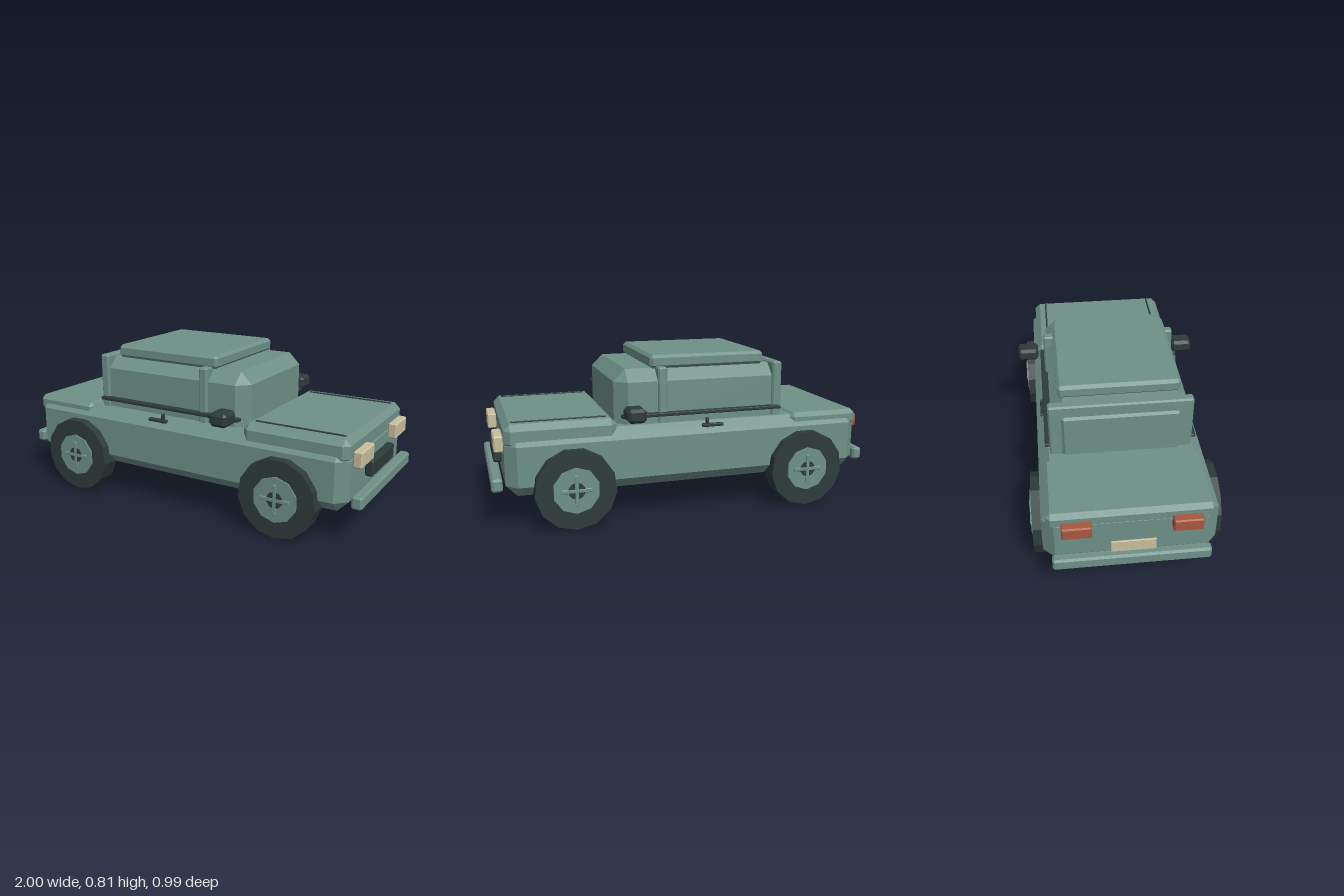
import * as THREE from 'three';
import { ConvexGeometry } from 'three/addons/geometries/ConvexGeometry.js';

const paint = new THREE.MeshStandardMaterial({ color: 0x6f9188 });
paint.name = 'sage paint';
const dark = new THREE.MeshStandardMaterial({ color: 0x2e3b3b });
dark.name = 'dark rubber';
const cream = new THREE.MeshStandardMaterial({ color: 0xc9c09d });
cream.name = 'cream lamp';
const red = new THREE.MeshStandardMaterial({ color: 0xa9583f });
red.name = 'red lamp';

// Box between two limits on each axis, with every edge chamfered by c
function chamferBox(name, material, [x0, x1], [y0, y1], [z0, z1], c) {
  const half = [(x1 - x0) / 2, (y1 - y0) / 2, (z1 - z0) / 2];
  const points = [];
  for (const sx of [-1, 1]) for (const sy of [-1, 1]) for (const sz of [-1, 1]) {
    for (let axis = 0; axis < 3; axis++) {
      const p = half.map((h, i) => (i === axis ? h : h - c));
      points.push(new THREE.Vector3(sx * p[0], sy * p[1], sz * p[2]));
    }
  }
  const mesh = new THREE.Mesh(new ConvexGeometry(points), material);
  mesh.name = name;
  mesh.position.set((x0 + x1) / 2, (y0 + y1) / 2, (z0 + z1) / 2);
  return mesh;
}

// Flat-faced disc whose axis runs along z, with a corner pointing down
function disc(name, material, radius, depth, sides, z) {
  const geometry = new THREE.CylinderGeometry(radius, radius, depth, sides).rotateX(Math.PI / 2).toNonIndexed();
  geometry.computeVertexNormals();
  const mesh = new THREE.Mesh(geometry, material);
  mesh.name = name;
  mesh.position.z = z;
  return mesh;
}

// Wheel with its outer side towards +z
function makeWheel() {
  const wheel = new THREE.Group();
  wheel.name = 'wheel';
  wheel.add(
    disc('tyre', dark, 0.2, 0.097, 13, 0),
    disc('hubPlate', paint, 0.115, 0.012, 10, 0.05),
    disc('hubCentre', dark, 0.042, 0.012, 10, 0.054),
    chamferBox('spokeAcross', paint, [-0.077, 0.077], [-0.01, 0.01], [0.05, 0.062], 0.003),
    chamferBox('spokeUpright', paint, [-0.01, 0.01], [-0.077, 0.077], [0.05, 0.062], 0.003)
  );
  return wheel;
}

export function createModel() {
  const car = new THREE.Group();
  car.name = 'car';
  const add = (...args) => car.add(chamferBox(...args));

  // Body shell, bonnet and boot
  add('lowerBody', paint, [-0.93, 0.93], [0.167, 0.475], [-0.41, 0.41], 0.055);
  add('bonnet', paint, [0.385, 0.93], [0.4, 0.522], [-0.39, 0.39], 0.03);
  add('bootLid', paint, [-0.93, -0.545], [0.4, 0.485], [-0.39, 0.39], 0.022);

  // Cabin with its hoops and roof
  add('cabin', paint, [-0.512, 0.38], [0.4, 0.745], [-0.336, 0.336], 0.06);
  add('rearHoop', paint, [-0.5, -0.45], [0.44, 0.757], [-0.35, 0.35], 0.008);
  add('middleHoop', paint, [0.12, 0.167], [0.46, 0.755], [-0.35, 0.35], 0.008);
  add('roof', paint, [-0.415, 0.195], [0.742, 0.81], [-0.3, 0.3], 0.015);

  // Bumpers, grille and rear plate
  add('frontBumper', paint, [0.943, 0.997], [0.195, 0.26], [-0.37, 0.37], 0.01);
  add('rearBumper', paint, [-0.99, -0.94], [0.195, 0.26], [-0.37, 0.37], 0.01);
  add('grille', dark, [0.93, 0.972], [0.285, 0.367], [-0.16, 0.16], 0.008);
  add('rearPlate', cream, [-1, -0.991], [0.307, 0.372], [-0.103, 0.103], 0.002);

  // Parts found on both sides
  for (const s of [1, -1]) {
    const side = (a, b) => (s > 0 ? [a, b] : [-b, -a]);
    add('headlight', cream, [0.93, 0.975], [0.383, 0.462], side(0.168, 0.336), 0.006);
    add('tailLight', red, [-0.972, -0.925], [0.375, 0.442], side(0.185, 0.323), 0.006);
    add('mirror', dark, [0.264, 0.358], [0.514, 0.583], side(0.384, 0.496), 0.015);
    add('waistStrip', dark, [-0.49, 0.357], [0.513, 0.53], side(0.335, 0.372), 0.003);
    add('bonnetStrip', dark, [0.43, 0.89], [0.515, 0.528], side(0.32, 0.329), 0.002);
    add('doorHandle', dark, [-0.167, -0.053], [0.447, 0.463], side(0.365, 0.388), 0.003);
    add('handleLatch', dark, [-0.088, -0.074], [0.423, 0.493], side(0.364, 0.386), 0.003);

    for (const x of [-0.613, 0.607]) {
      const wheel = makeWheel();
      wheel.position.set(x, 0.2, s * 0.407);
      if (s < 0) wheel.rotation.y = Math.PI;
      car.add(wheel);
    }
  }
  return car;
}
